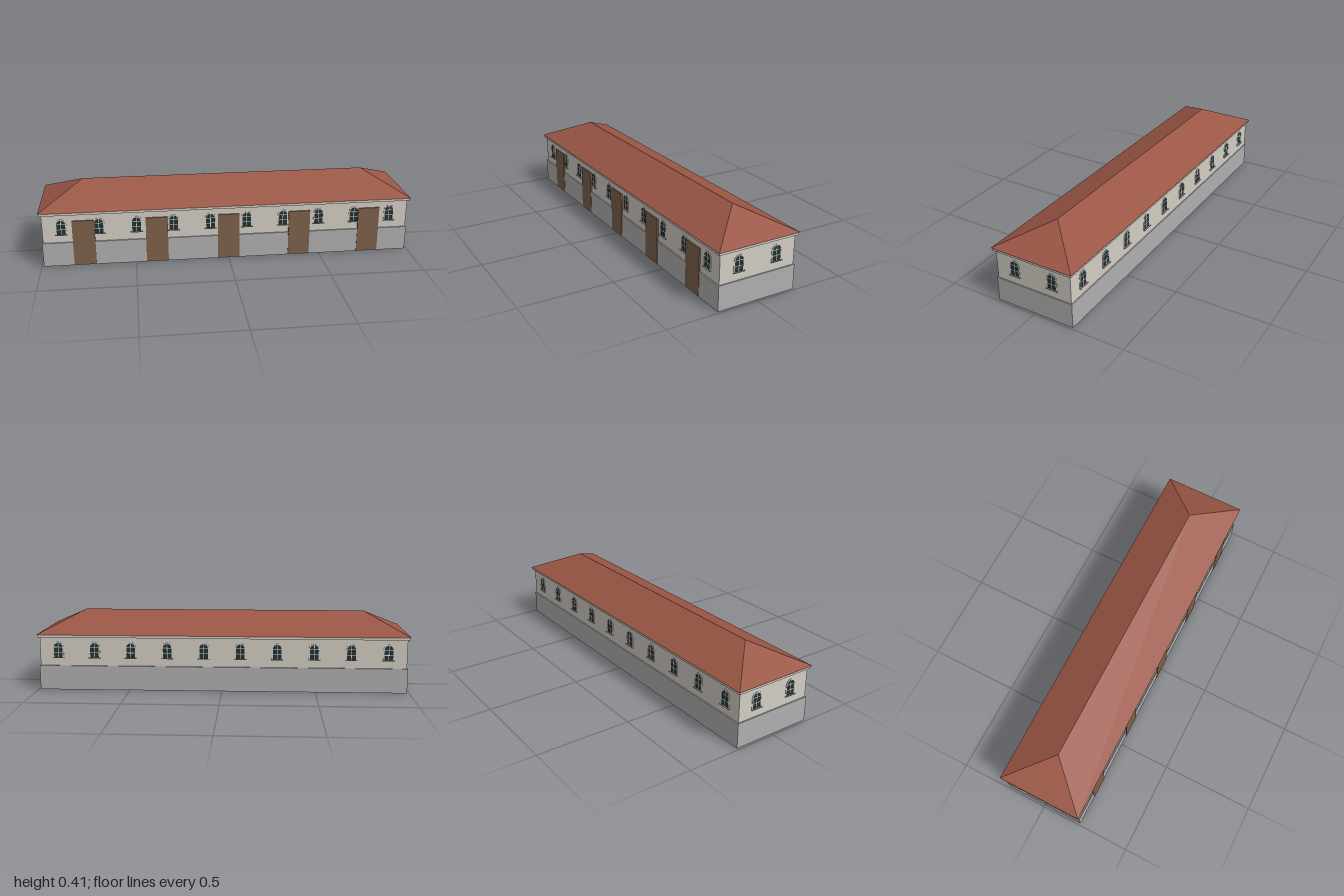
import * as THREE from 'three';

const mat = (name, color, side = THREE.FrontSide) => {
  const m = new THREE.MeshStandardMaterial({ color, side });
  m.name = name;
  return m;
};

// Half sizes of the building
const WALL_X = 0.984, WALL_Z = 0.213;
const BASE_TOP = 0.132, EAVE = 0.302, RIDGE = 0.413;

// Arched window outline: straight jambs with a semicircle on top
function arch(Type, halfWidth, bottom, spring) {
  const s = new Type();
  s.moveTo(-halfWidth, bottom);
  s.lineTo(halfWidth, bottom);
  s.lineTo(halfWidth, spring);
  s.absarc(0, spring, halfWidth, 0, Math.PI, false);
  s.lineTo(-halfWidth, bottom);
  return s;
}

// Closed hipped roof with flat faces
function hippedRoof(hx, hz, y0, y1, ridge) {
  const p = [
    -hx, y0, hz, hx, y0, hz, hx, y0, -hz, -hx, y0, -hz, // eaves
    -ridge, y1, 0, ridge, y1, 0, // ridge
  ];
  const g = new THREE.BufferGeometry();
  g.setAttribute('position', new THREE.Float32BufferAttribute(p, 3));
  g.setIndex([0, 1, 5, 0, 5, 4, 1, 2, 5, 2, 3, 4, 2, 4, 5, 3, 0, 4, 0, 3, 2, 0, 2, 1]);
  const flat = g.toNonIndexed();
  flat.computeVertexNormals();
  return flat;
}

export function createModel() {
  const model = new THREE.Group();
  model.name = 'longHouse';

  const stone = mat('stoneGrey', 0xb0b0b0, THREE.DoubleSide);
  const plaster = mat('creamPlaster', 0xd3cdc3);
  const tile = mat('redTile', 0x9a5645);
  const wood = mat('brownWood', 0x7d604a);
  const glass = mat('darkGlass', 0x223032);
  const bars = mat('paleBars', 0xe2e0da);
  const sillStone = mat('sillGrey', 0x9a968f);

  const add = (parent, name, geometry, material, x = 0, y = 0, z = 0) => {
    const mesh = new THREE.Mesh(geometry, material);
    mesh.name = name;
    mesh.position.set(x, y, z);
    parent.add(mesh);
    return mesh;
  };

  // Stone plinth, open underneath
  const plinth = new THREE.BoxGeometry(1.978, BASE_TOP, 0.436);
  const index = Array.from(plinth.index.array);
  index.splice(18, 6); // drop the bottom face
  plinth.clearGroups();
  plinth.setIndex(index);
  add(model, 'plinth', plinth, stone, 0, BASE_TOP / 2, 0);

  // Walls and cornice
  const wallBottom = BASE_TOP + 0.001;
  add(model, 'walls', new THREE.BoxGeometry(WALL_X * 2, 0.295 - wallBottom, WALL_Z * 2),
    plaster, 0, (0.295 + wallBottom) / 2, 0);
  add(model, 'cornice', new THREE.BoxGeometry(1.992, 0.014, 0.45), plaster, 0, 0.295, 0);

  // Roof
  add(model, 'roof', hippedRoof(1, 0.229, EAVE, RIDGE, 0.771), tile);

  // Doors along the front
  const door = new THREE.BoxGeometry(0.117, 0.25, 0.015);
  for (let i = -2; i <= 2; i++) {
    add(model, 'door', door, wood, i * 0.385, 0.128, 0.2125);
  }

  // Shared window parts, facing +z with the wall surface at z = 0
  const BOTTOM = 0.176, SPRING = 0.234, R = 0.023;
  const surroundShape = arch(THREE.Shape, 0.029, BOTTOM, SPRING);
  surroundShape.holes.push(arch(THREE.Path, R, BOTTOM + 0.001, SPRING));
  const thin = (shape, depth) =>
    new THREE.ExtrudeGeometry(shape, { depth, bevelEnabled: false, curveSegments: 12 });
  const surround = thin(surroundShape, 0.002);
  const pane = thin(arch(THREE.Shape, R, BOTTOM, SPRING), 0.0008);
  const upright = new THREE.BoxGeometry(0.003, 0.08, 0.0015);
  const crossbar = new THREE.BoxGeometry(R * 2, 0.003, 0.0015);
  const sill = new THREE.BoxGeometry(0.064, 0.003, 0.008);

  const addWindow = (x, z, turn) => {
    const w = new THREE.Group();
    w.name = 'window';
    add(w, 'surround', surround, plaster);
    add(w, 'pane', pane, glass);
    add(w, 'upright', upright, bars, 0, BOTTOM + 0.04, 0.00075);
    for (const y of [0.205, SPRING]) add(w, 'crossbar', crossbar, bars, 0, y, 0.00075);
    add(w, 'sill', sill, sillStone, 0, 0.1755, 0.004);
    w.position.set(x, 0, z);
    w.rotation.y = turn;
    model.add(w);
  };

  // Ten windows on each long side, two on each end
  for (let i = 0; i < 10; i++) {
    const x = (i - 4.5) * 0.1968;
    addWindow(x, WALL_Z, 0);
    addWindow(x, -WALL_Z, Math.PI);
  }
  for (const z of [-0.107, 0.107]) {
    addWindow(WALL_X, z, Math.PI / 2);
    addWindow(-WALL_X, z, -Math.PI / 2);
  }

  return model;
}
